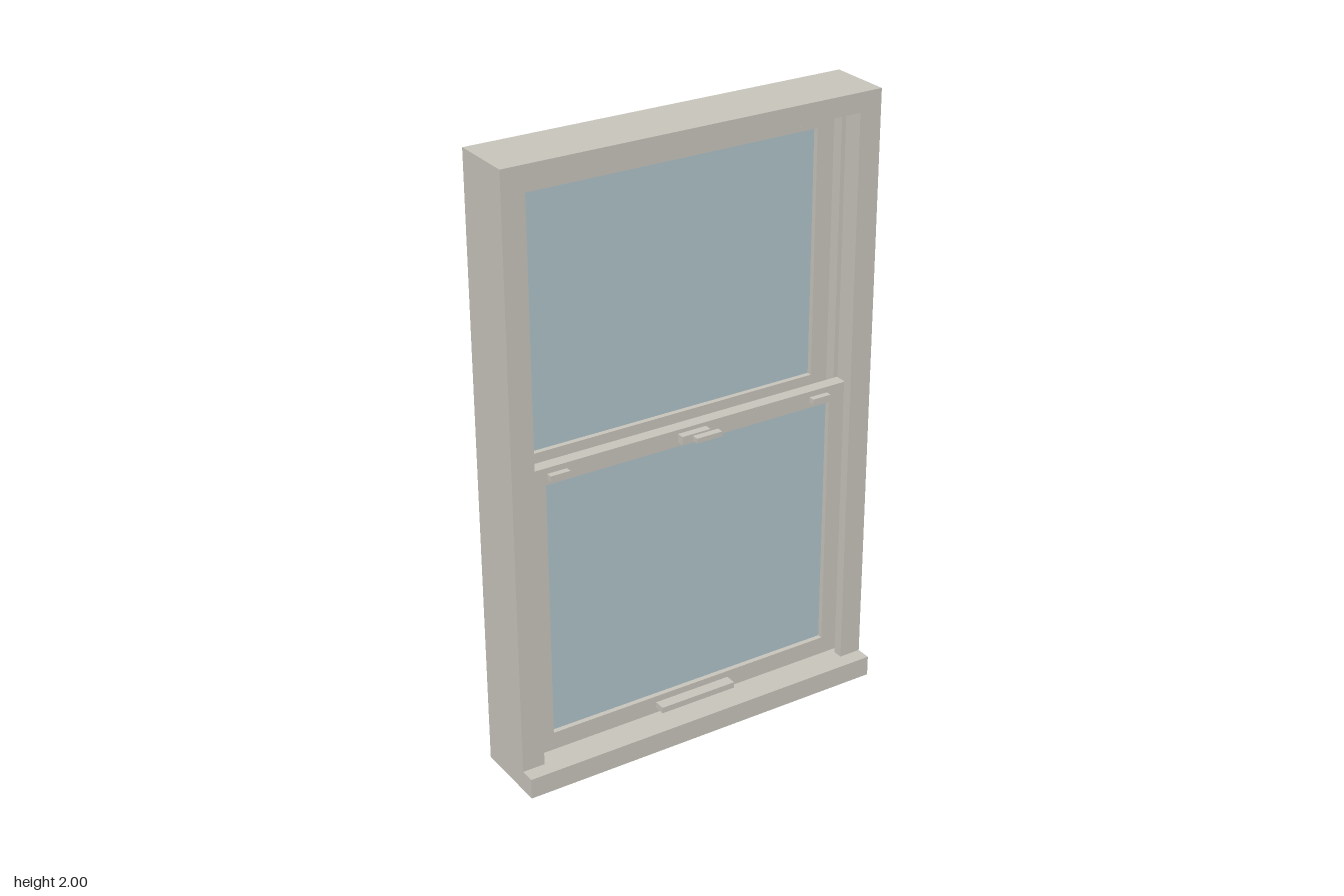
import * as THREE from 'three';

const frameMat = new THREE.MeshStandardMaterial({ color: 0xc8c4bc });
frameMat.name = 'warm grey paint';
const glassMat = new THREE.MeshStandardMaterial({ color: 0xb0c3ca });
glassMat.name = 'pale blue glass';

// Box given by its min and max on each axis
function box(name, x0, x1, y0, y1, z0, z1, mat = frameMat) {
  const mesh = new THREE.Mesh(new THREE.BoxGeometry(x1 - x0, y1 - y0, z1 - z0), mat);
  mesh.position.set((x0 + x1) / 2, (y0 + y1) / 2, (z0 + z1) / 2);
  mesh.name = name;
  return mesh;
}

function rectPath(path, w, y0, y1) {
  path.moveTo(-w, y0);
  path.lineTo(w, y0);
  path.lineTo(w, y1);
  path.lineTo(-w, y1);
  path.closePath();
  return path;
}

// Rectangular ring extruded from z0 to z1; outer and inner are [halfWidth, y0, y1]
function ring(name, outer, inner, z0, z1) {
  const shape = rectPath(new THREE.Shape(), ...outer);
  shape.holes.push(rectPath(new THREE.Path(), ...inner));
  const geo = new THREE.ExtrudeGeometry(shape, { depth: z1 - z0, bevelEnabled: false });
  geo.translate(0, 0, z0);
  const mesh = new THREE.Mesh(geo, frameMat);
  mesh.name = name;
  return mesh;
}

// Sash: rails and stiles around a recessed pane
function sash(name, y0, y1, g0, g1, z0, z1) {
  const group = new THREE.Group();
  group.name = name;
  const mid = (z0 + z1) / 2;
  group.add(ring('sashFrame', [0.565, y0, y1], [0.505, g0, g1], z0, z1));
  group.add(box('glassPane', -0.507, 0.507, g0 - 0.002, g1 + 0.002, mid - 0.004, mid + 0.004, glassMat));
  return group;
}

export function createModel() {
  const model = new THREE.Group();
  model.name = 'doubleHungWindow';

  // Outer frame and projecting sill
  model.add(ring('outerFrame', [0.635, 0, 2], [0.575, 0.068, 1.938], -0.13, 0.08));
  model.add(box('sillNose', -0.635, 0.635, 0, 0.068, 0.08, 0.13));

  // Jamb stops that form the two sliding channels
  const stops = [[0.047, 0.08], [-0.042, -0.008], [-0.13, -0.097]];
  for (const side of [-1, 1]) {
    for (const [z0, z1] of stops) {
      const stop = box('jambStop', -0.0075, 0.0075, 0.068, 1.938, z0, z1);
      stop.position.x = side * 0.5675;
      model.add(stop);
    }
  }

  // Upper sash slides behind the lower one
  const upper = sash('upperSash', 1.0, 1.922, 1.055, 1.863, -0.095, -0.053);
  const lower = sash('lowerSash', 0.082, 1.055, 0.142, 1.0, 0.003, 0.045);
  model.add(upper, lower);

  // Tilt latches on both top rails
  for (const x of [-0.5, 0.43]) {
    upper.add(box('tiltLatch', x, x + 0.066, 1.885, 1.903, -0.053, -0.033));
    lower.add(box('tiltLatch', x, x + 0.066, 1.018, 1.036, 0.045, 0.065));
  }

  // Cam lock with lever, and lift handle
  lower.add(box('lockBody', -0.052, 0.048, 1.014, 1.042, 0.045, 0.07));
  lower.add(box('lockLever', -0.015, 0.075, 1.02, 1.036, 0.07, 0.093));
  lower.add(box('liftHandle', -0.135, 0.135, 0.1, 0.12, 0.045, 0.083));

  return model;
}
